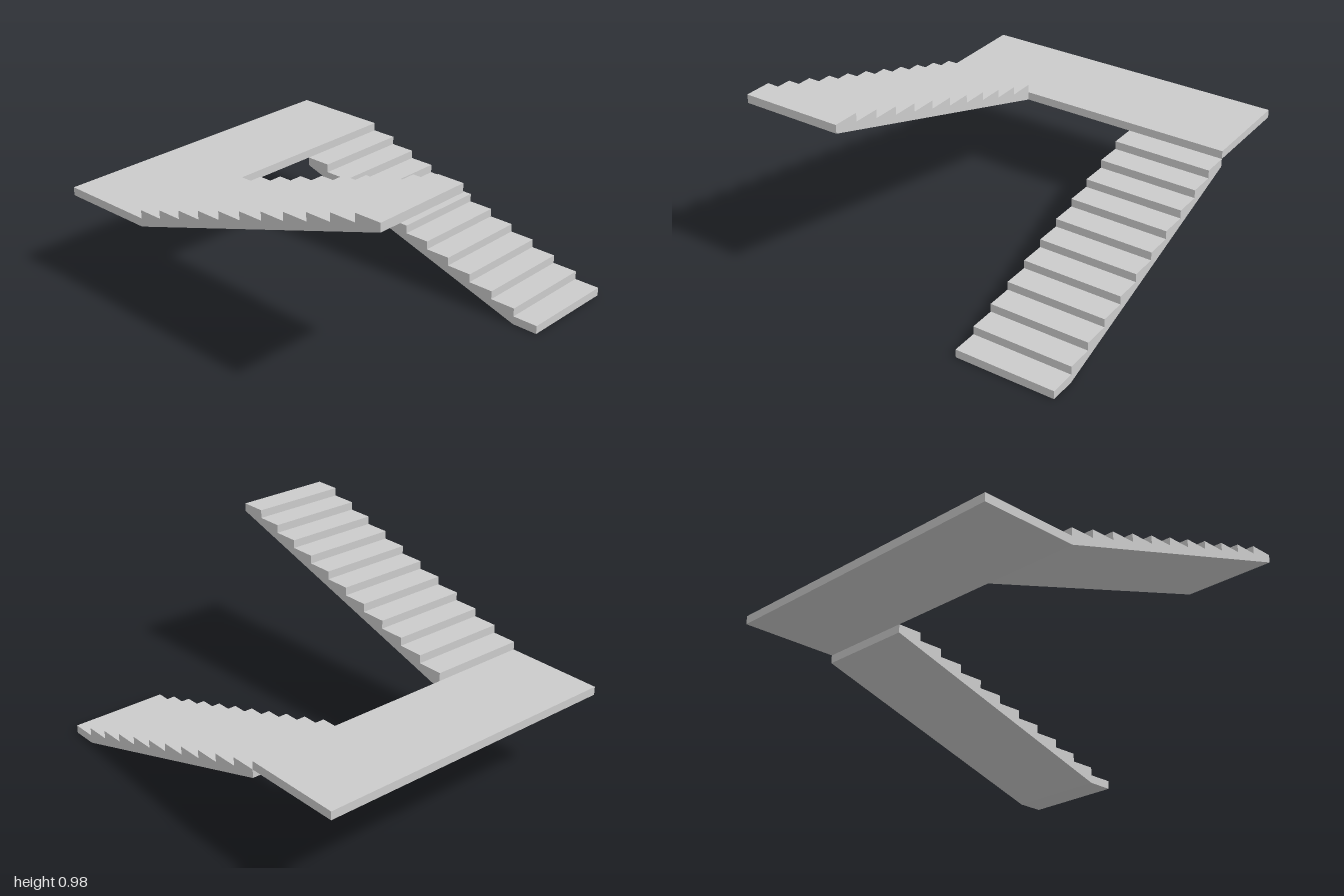
import * as THREE from 'three';

const STEPS = 11;
const RISE = 0.98 / 23;               // 11 steps + landing + 11 steps
const FRONT = 1, BACK = -1, EDGE = -0.484; // EDGE: where flights meet the landing
const TREAD = (FRONT - EDGE) / STEPS;
const HALF_WIDTH = 0.82, FLIGHT_WIDTH = 0.516;
const LANDING_BASE = STEPS * RISE;

const material = new THREE.MeshStandardMaterial({ color: 0xcccccc, flatShading: true });

// Side profile of a flight climbing from startZ in direction dir, as (z, y) points
function flightProfile(startZ, baseY, dir, soffit) {
  const points = [];
  for (let i = 0; i < STEPS; i++) {
    const y = baseY + (i + 1) * RISE;
    points.push(new THREE.Vector2(startZ + dir * i * TREAD, y));
    points.push(new THREE.Vector2(startZ + dir * (i + 1) * TREAD, y));
  }
  return new THREE.Shape([...points, ...soffit.map(([z, y]) => new THREE.Vector2(z, y))]);
}

function makeFlight(name, shape, centerX) {
  const geometry = new THREE.ExtrudeGeometry(shape, { depth: FLIGHT_WIDTH, bevelEnabled: false });
  geometry.translate(0, 0, -FLIGHT_WIDTH / 2);
  geometry.rotateY(-Math.PI / 2);     // profile x becomes world z
  const mesh = new THREE.Mesh(geometry, material);
  mesh.name = name;
  mesh.position.x = centerX;
  return mesh;
}

export function createModel() {
  const group = new THREE.Group();
  group.name = 'staircase';
  const flightX = HALF_WIDTH - FLIGHT_WIDTH / 2;

  // Lower flight: rises towards the back, first step flat on the ground
  group.add(makeFlight('lowerFlight', flightProfile(FRONT, 0, -1, [
    [EDGE, LANDING_BASE - RISE],
    [FRONT - TREAD, 0],
    [FRONT, 0],
  ]), flightX));

  // Upper flight: rises from the landing back towards the front
  group.add(makeFlight('upperFlight', flightProfile(EDGE, LANDING_BASE + RISE, 1, [
    [FRONT, LANDING_BASE + STEPS * RISE],
    [EDGE, LANDING_BASE],
  ]), -flightX));

  // Landing slab joining both flights
  const landing = new THREE.Mesh(
    new THREE.BoxGeometry(HALF_WIDTH * 2, RISE, EDGE - BACK), material);
  landing.name = 'landing';
  landing.position.set(0, LANDING_BASE + RISE / 2, (EDGE + BACK) / 2);
  group.add(landing);

  return group;
}
